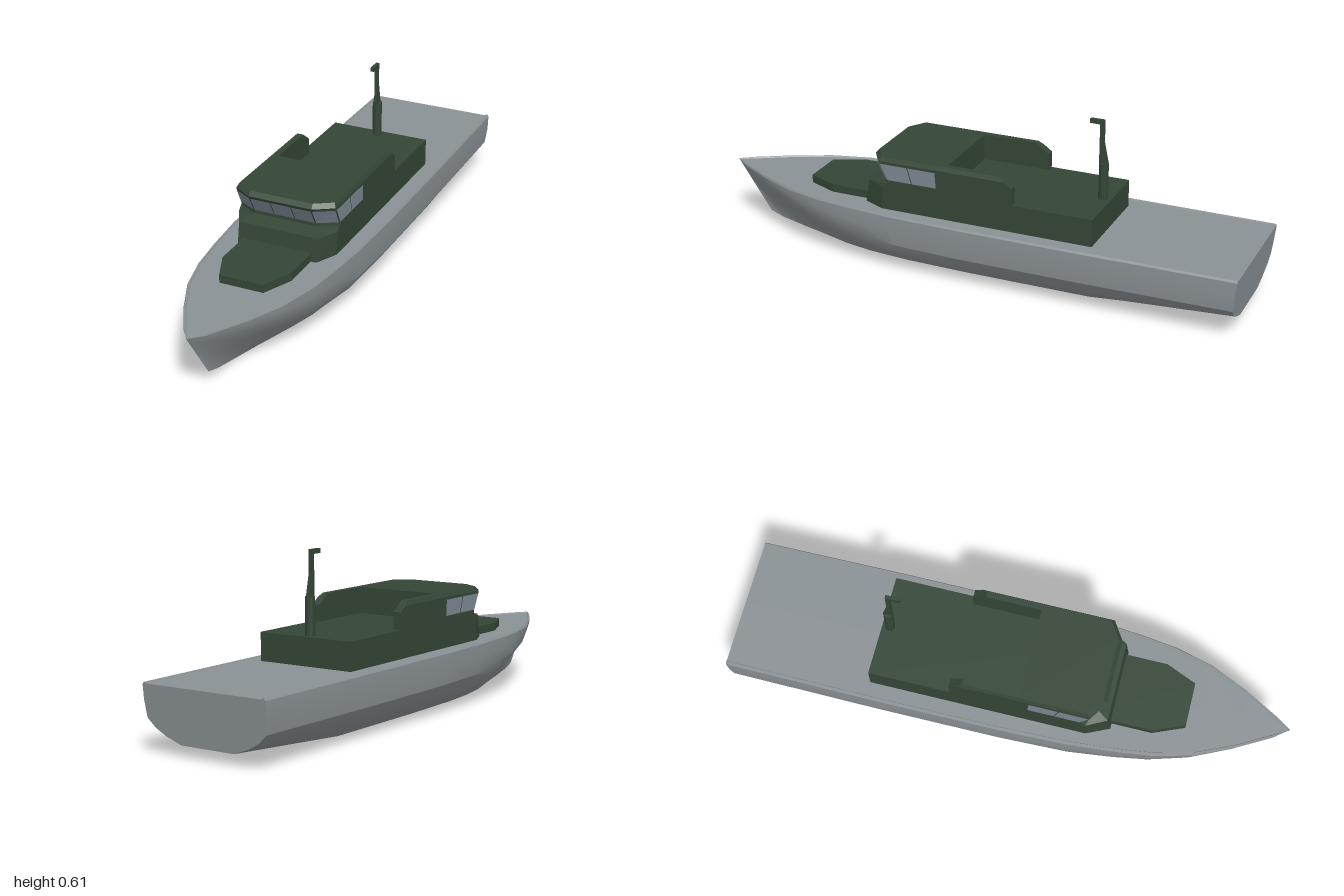
import * as THREE from 'three';
import { toCreasedNormals } from 'three/addons/utils/BufferGeometryUtils.js';

const paint = (color, flat = true) => new THREE.MeshStandardMaterial({ color, flatShading: flat, side: THREE.DoubleSide });
const green = paint(0x344636);
const hullGrey = paint(0x8a9195, false);
const glass = paint(0x7c8692);

function mesh(name, geometry, material) {
  const m = new THREE.Mesh(geometry, material);
  m.name = name;
  return m;
}

// Skin closed rings of [x, y, z] points and cap both ends.
// Rings run counter-clockwise when seen from the last ring's side.
function loft(rings) {
  const n = rings[0].length;
  const index = [];
  for (let k = 0; k < rings.length - 1; k++) {
    for (let i = 0; i < n; i++) {
      const a = k * n + i, b = k * n + (i + 1) % n;
      index.push(a, b, b + n, a, b + n, a + n);
    }
  }
  const last = (rings.length - 1) * n;
  for (let i = 1; i < n - 1; i++) {
    index.push(0, i + 1, i, last, last + i, last + i + 1);
  }
  const g = new THREE.BufferGeometry();
  g.setAttribute('position', new THREE.Float32BufferAttribute(rings.flat(2), 3));
  g.setIndex(index);
  g.computeVertexNormals();
  return g;
}

// Plan outline at height y: square at the back, chamfered corners at the front.
const plan = (y, w, zBack, zCorner, xFront, zFront) => [
  [-w, y, zBack], [-w, y, zCorner], [-xFront, y, zFront],
  [xFront, y, zFront], [w, y, zCorner], [w, y, zBack],
];

// One hull section; rake slides lower points aft at the bow.
function hullRing([z, d, chineY, bottomX, keelY, rake]) {
  const top = 0.23, cx = d * 0.97, w = Math.max(rake, 0);
  const mix = THREE.MathUtils.lerp;
  const bilge = (fx, fy) => [mix(bottomX, cx, fx), mix(keelY, chineY, fy)];
  const half = [
    [bottomX, keelY],
    bilge(mix(0.46, 0.28, w), mix(0.3, 0.36, w)),
    bilge(mix(0.77, 0.6, w), mix(0.61, 0.68, w)),
    [cx, chineY],
    [d, mix(chineY, top, 0.5)],
    [d, 0.223], [d - 0.005, top], [d - 0.01, top], [d - 0.012, 0.226],
  ].map(([x, y]) => [Math.max(x, 0), y]);
  const loop = [
    [0, keelY], ...half, [0, 0.226],
    ...half.slice().reverse().map(([x, y]) => [-x, y]),
  ];
  return loop.map(([x, y]) => [x, y, z - rake * 0.68 * (top - y)]);
}

// Window pane between fractions u0 and u1 of a wall, pushed slightly outward.
function pane(b0, b1, t0, t1, u0, u1) {
  const v = (p) => new THREE.Vector3(...p);
  const [B0, B1, T0, T1] = [b0, b1, t0, t1].map(v);
  const out = B1.clone().sub(B0).cross(T0.clone().sub(B0)).normalize().multiplyScalar(0.002);
  const at = (p, q, u) => p.clone().lerp(q, u).add(out);
  const pts = [at(B0, B1, u0), at(B0, B1, u1), at(T0, T1, u1), at(T0, T1, u0)];
  const g = new THREE.BufferGeometry().setFromPoints(pts);
  g.setIndex([0, 1, 2, 0, 2, 3]);
  g.computeVertexNormals();
  return g;
}

export function createModel() {
  const boat = new THREE.Group();
  boat.name = 'patrolBoat';

  // Hull: z, half beam, chine height, flat bottom half width, keel height, rake
  const stations = [
    [-1, 0.244, 0.115, 0.105, 0.04, -0.154],
    [-0.45, 0.248, 0.113, 0.112, 0, 0],
    [0, 0.247, 0.113, 0.112, 0, 0],
    [0.25, 0.24, 0.116, 0.105, 0, 0],
    [0.42, 0.225, 0.134, 0.09, 0, 0.1],
    [0.55, 0.208, 0.15, 0.07, 0.001, 0.25],
    [0.69, 0.172, 0.168, 0.042, 0.005, 0.5],
    [0.83, 0.108, 0.18, 0.02, 0.012, 0.75],
    [0.95, 0.04, 0.188, 0.005, 0.024, 0.95],
    [1, 0, 0.19, 0, 0.04, 1],
  ];
  boat.add(mesh('hull', toCreasedNormals(loft(stations.map(hullRing)), 0.45), hullGrey));

  // Low block on the foredeck
  boat.add(mesh('foredeckHatch', loft([
    plan(0.22, 0.127, 0.3, 0.53, 0.08, 0.64),
    plan(0.255, 0.127, 0.3, 0.53, 0.08, 0.64),
  ]), green));

  // Long deckhouse with a sloped ledge in front of the windows
  boat.add(mesh('deckhouse', loft([
    plan(0.22, 0.185, -0.48, 0.305, 0.147, 0.386),
    plan(0.31, 0.185, -0.48, 0.3, 0.147, 0.372),
    plan(0.325, 0.185, -0.48, 0.285, 0.118, 0.322),
  ]), green));

  // Wheelhouse: walls lean outward up to a bevelled roof
  const sill = plan(0.339, 0.185, 0.06, 0.283, 0.115, 0.32);
  const head = plan(0.396, 0.185, 0.06, 0.312, 0.115, 0.353);
  boat.add(mesh('wheelhouse', loft([
    plan(0.32, 0.185, 0.06, 0.283, 0.115, 0.32),
    sill, head,
    plan(0.405, 0.185, 0.06, 0.316, 0.118, 0.358),
    plan(0.42, 0.178, 0.06, 0.304, 0.115, 0.344),
  ]), green));

  // Windows: [wall, start, end]; walls 0 and 4 are sides, 1 and 3 corners, 2 front
  const windows = new THREE.Group();
  windows.name = 'windows';
  const panes = [
    [0, 0.15, 0.56], [0, 0.575, 0.985], [1, 0.02, 0.98],
    [2, 0.01, 0.326], [2, 0.34, 0.66], [2, 0.674, 0.99],
    [3, 0.02, 0.98], [4, 0.015, 0.425], [4, 0.44, 0.85],
  ];
  for (const [i, u0, u1] of panes) {
    windows.add(mesh('window', pane(sill[i], sill[i + 1], head[i], head[i + 1], u0, u1), glass));
  }
  boat.add(windows);

  // Side walls sheltering the open cockpit behind the wheelhouse
  for (const side of [-1, 1]) {
    const ring = (y, xOut, zBack) => {
      const [a, b] = side > 0 ? [0.155, xOut] : [-xOut, -0.155];
      return [[a, y, zBack], [a, y, 0.07], [b, y, 0.07], [b, y, zBack]];
    };
    boat.add(mesh('cockpitWall', loft([
      ring(0.32, 0.185, -0.188), ring(0.385, 0.185, -0.188),
      ring(0.405, 0.185, -0.16), ring(0.42, 0.178, -0.14),
    ]), green));
  }

  // Mast: round base, tapered post and a short arm pointing forward
  const mast = new THREE.Group();
  mast.name = 'mast';
  const base = mesh('mastBase', new THREE.CylinderGeometry(0.017, 0.017, 0.135, 12), green);
  base.position.set(0, 0.3885, -0.45);
  mast.add(base);
  const post = new THREE.Shape([
    [-0.434, 0.45], [-0.434, 0.595], [-0.398, 0.595], [-0.398, 0.611],
    [-0.449, 0.611], [-0.449, 0.53], [-0.464, 0.46], [-0.464, 0.45],
  ].map(([z, y]) => new THREE.Vector2(-z, y)));
  const postGeo = new THREE.ExtrudeGeometry(post, { depth: 0.012, bevelEnabled: false });
  postGeo.translate(0, 0, -0.006).rotateY(Math.PI / 2);
  mast.add(mesh('mastPost', postGeo, green));
  boat.add(mast);

  return boat;
}
